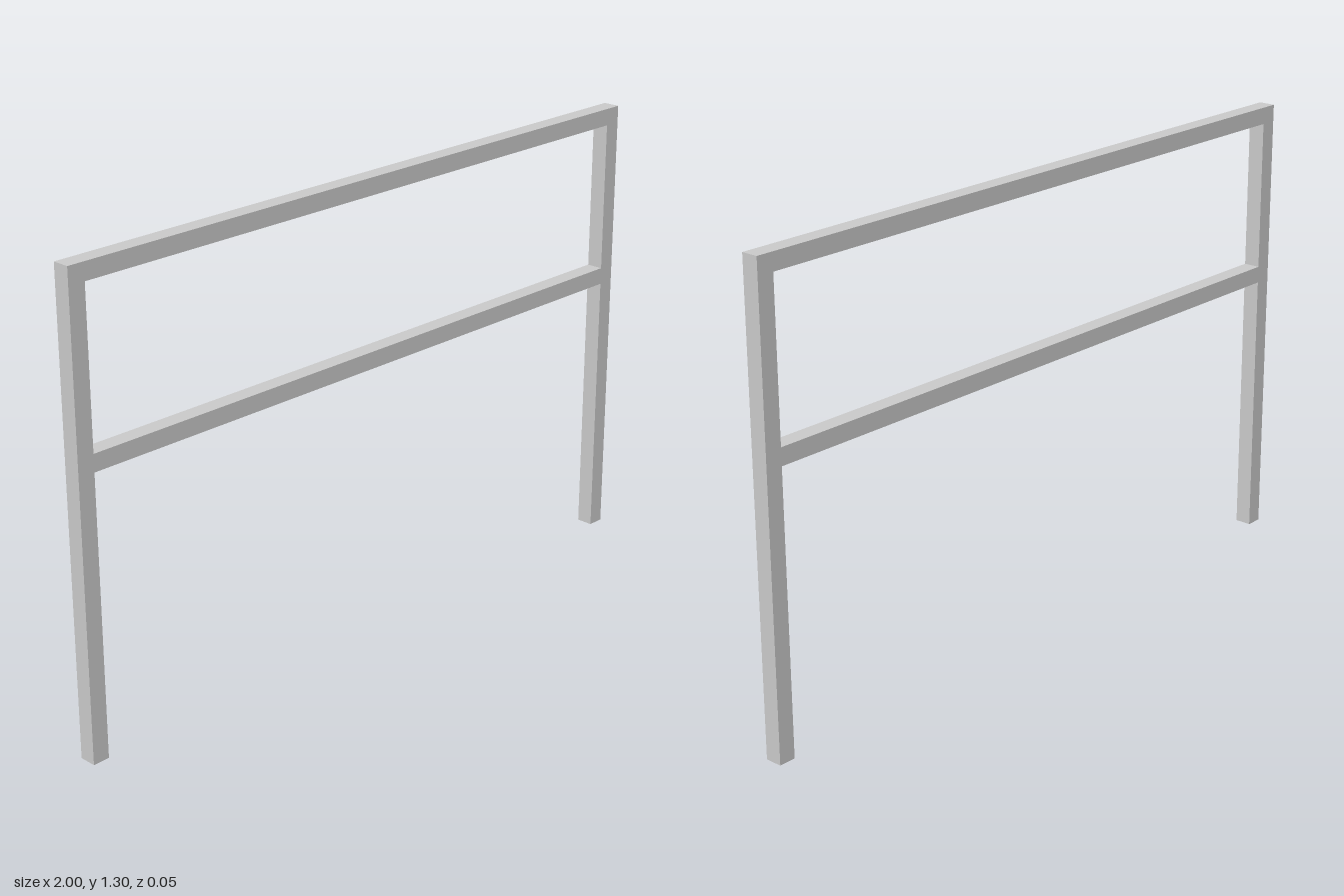
import * as THREE from 'three';

const WIDTH = 2, HEIGHT = 1.3, BAR = 0.048; // overall size and square bar thickness

export function createModel() {
  const group = new THREE.Group();
  const material = new THREE.MeshStandardMaterial({ color: 0xcccccc });

  const addBar = (name, w, h, x, y) => {
    const bar = new THREE.Mesh(new THREE.BoxGeometry(w, h, BAR), material);
    bar.name = name;
    bar.position.set(x, y, 0);
    group.add(bar);
  };

  // Upright posts, full height
  for (const [name, side] of [['leftPost', 1], ['rightPost', -1]]) {
    addBar(name, BAR, HEIGHT, side * (WIDTH - BAR) / 2, HEIGHT / 2);
  }

  // Horizontal rails fitted between the posts
  const span = WIDTH - 2 * BAR;
  addBar('topRail', span, BAR, 0, HEIGHT - BAR / 2);
  addBar('middleRail', span, BAR, 0, 0.8);

  return group;
}
